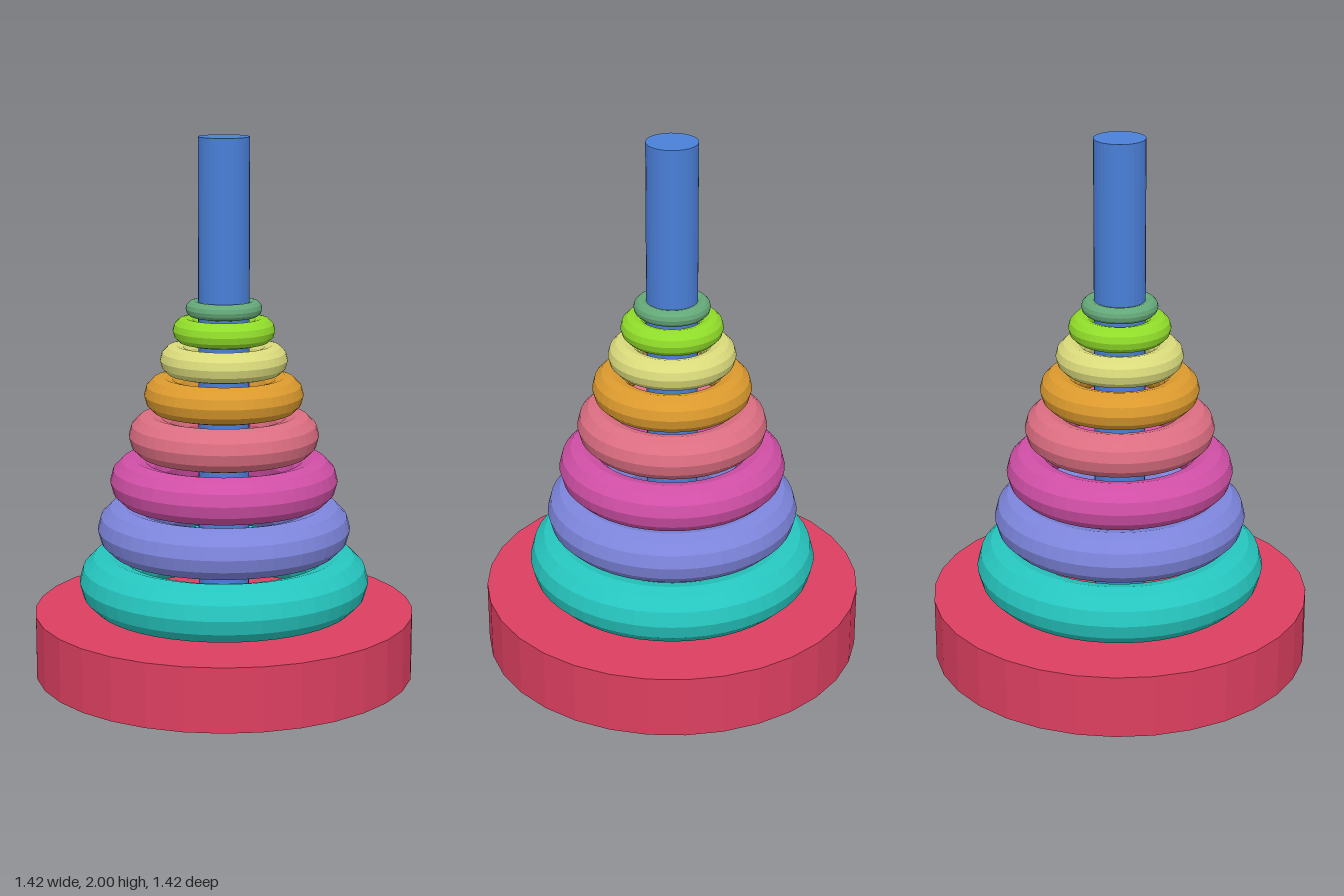
import * as THREE from 'three';

function material(name, color) {
  const m = new THREE.MeshStandardMaterial({ color, flatShading: true });
  m.name = name;
  return m;
}

// Ring data, bottom to top: name, colour, outer radius, bottom y, top y
const RINGS = [
  ['teal', 0x26c6bf, 0.54, 0.243, 0.456],
  ['periwinkle', 0x7d85dc, 0.47, 0.456, 0.645],
  ['magenta', 0xd04fa6, 0.422, 0.645, 0.82],
  ['pink', 0xdc6e82, 0.352, 0.822, 0.983],
  ['orange', 0xdc9a2e, 0.294, 0.986, 1.124],
  ['yellow', 0xdada7c, 0.235, 1.128, 1.242],
  ['lime', 0x90dc2a, 0.188, 1.247, 1.342],
  ['green', 0x64a878, 0.14, 1.345, 1.405],
];

export function createModel() {
  const model = new THREE.Group();
  model.name = 'stackingRings';

  const add = (name, geometry, mat, y) => {
    const mesh = new THREE.Mesh(geometry, mat);
    mesh.name = name;
    mesh.position.y = y;
    model.add(mesh);
  };

  // Round base
  const baseHeight = 0.238;
  add('base', new THREE.CylinderGeometry(0.708, 0.708, baseHeight, 32), material('red', 0xdc3f60), baseHeight / 2);

  // Central pole, standing on the base
  const poleHeight = 2 - baseHeight;
  add('pole', new THREE.CylinderGeometry(0.094, 0.094, poleHeight, 32), material('blue', 0x4a7fd8), baseHeight + poleHeight / 2);

  // Rings tapering towards the top
  for (const [name, color, outer, bottom, top] of RINGS) {
    const tube = (top - bottom) / 2;
    const ring = new THREE.TorusGeometry(outer - tube, tube, 12, 48).rotateX(-Math.PI / 2);
    add(name + 'Ring', ring, material(name, color), (top + bottom) / 2);
  }

  return model;
}
